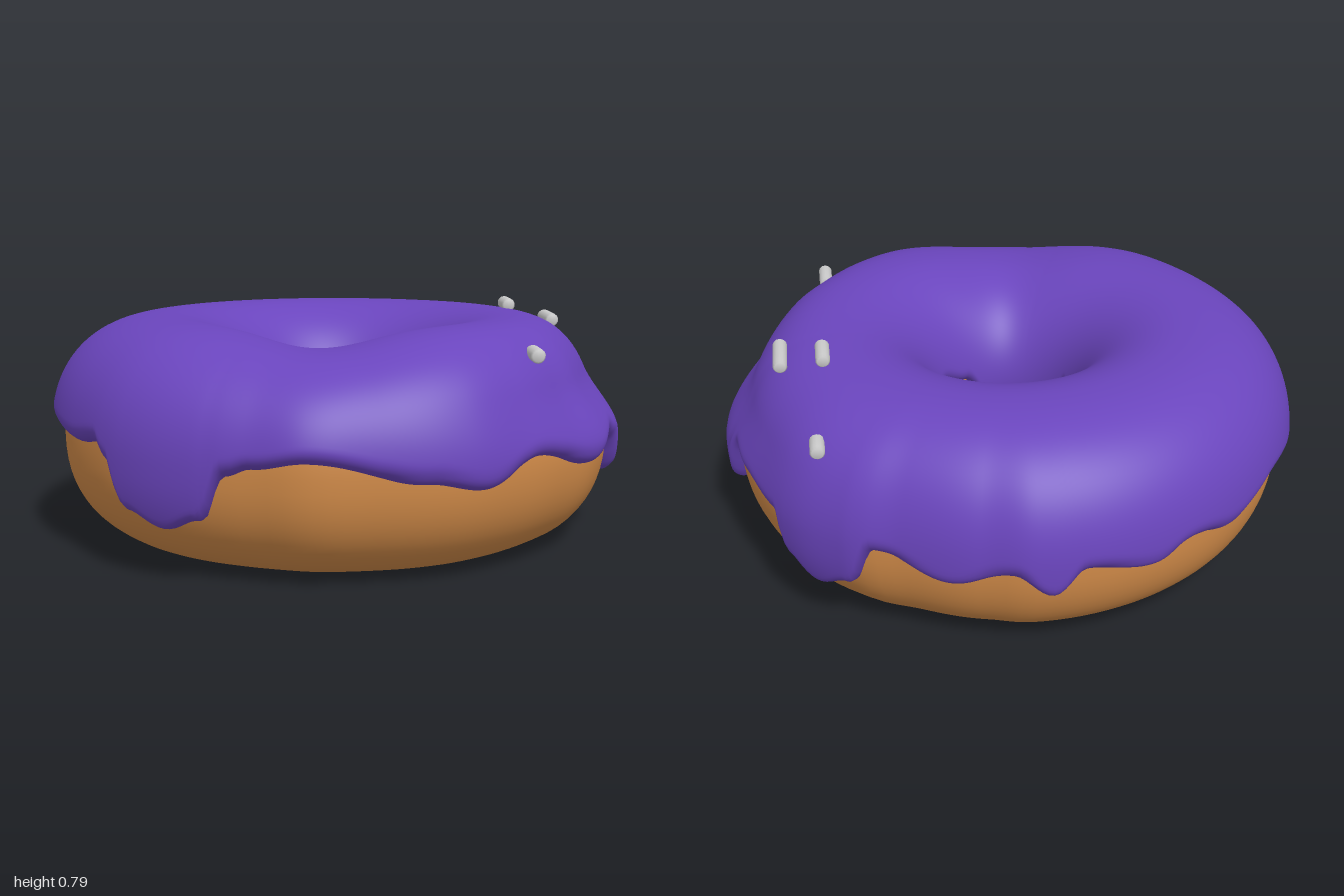
import * as THREE from 'three';

const RAD = Math.PI / 180;
const RING = 0.6, MID = 0.355, HALF = 0.355, ICING = 0.045;

// Angles run from +x towards +z, in degrees.
const OUTLINE = [[0, 0.995], [27, 0.99], [40, 0.972], [52, 0.975], [67, 0.99], [84, 0.985], [97, 1.007], [108, 0.985],
  [134, 1], [151, 0.99], [180, 1], [211, 1], [243, 1], [273, 1], [283, 0.972], [298, 0.96], [309, 0.99],
  [320, 1], [336, 0.985], [350, 0.99]];
const OUTER_EDGE = [[4, 0.2], [10, 0.23], [14, 0.34], [18, 0.38], [32, 0.31], [50, 0.375], [64, 0.3], [75, 0.33],
  [97, 0.41], [107, 0.38], [112, 0.35], [117, 0.21], [125, 0.17], [133, 0.21], [138, 0.34], [142, 0.4], [152, 0.38],
  [170, 0.4], [193, 0.33], [216, 0.385], [232, 0.33], [242, 0.36], [251, 0.315], [264, 0.35], [270, 0.27],
  [277, 0.34], [289, 0.29], [304, 0.36], [309, 0.22], [317, 0.17], [323, 0.23], [327, 0.35], [341, 0.38],
  [350, 0.4], [356, 0.22]];
const INNER_EDGE = [[0, 0.36], [30, 0.42], [60, 0.38], [85, 0.26], [111, 0.2], [137, 0.27], [160, 0.4], [173, 0.33],
  [186, 0.41], [230, 0.36], [280, 0.42], [325, 0.39]];

// Smooth periodic interpolation of [degree, value] pairs
function around(table, theta) {
  const d = ((theta / RAD) % 360 + 360) % 360;
  const n = table.length;
  let k = n - 1;
  for (let i = 0; i < n; i++) if (table[i][0] <= d) k = i;
  if (d < table[0][0]) k = n - 1;
  const [d0, v0] = table[k], [d1, v1] = table[(k + 1) % n];
  const span = (d1 - d0 + 360) % 360;
  const f = ((d - d0 + 360) % 360) / span;
  return v0 + (v1 - v0) * (1 - Math.cos(Math.PI * f)) / 2;
}

// Bell-shaped weight centred on an angle
function bell(theta, centre, width) {
  const d = ((theta / RAD - centre + 540) % 360) - 180;
  return Math.exp(-(d * d) / (width * width));
}

const exponent = (inner) => (inner ? 2.05 : 2.3);
const spow = (v, p) => Math.sign(v) * Math.abs(v) ** p;

// Point of the ring: theta around the hole, t around the tube, lifted off the dough
function ringPoint(theta, t, lift) {
  const c = Math.cos(t), s = Math.sin(t), inner = c < 0;
  const p = 2 / exponent(inner);
  const dx = (inner ? 0.33 : 0.955 - RING) * spow(c, p) + lift * c;
  let dy = HALF * spow(s, p) + lift * s;
  // sag in the crest at the front, flattened shoulder on the +x side
  if (dy > 0) dy *= 1 - 0.15 * bell(theta, 98, 24);
  let r = RING + dx;
  if (!inner) {
    r = RING + dx * (1 + (around(OUTLINE, theta) - 1) * 2.5);
    const up = THREE.MathUtils.smoothstep(dy, 0, 0.22) * c;
    r -= 0.09 * up * bell(theta, 15, 38);
  }
  return [r * Math.cos(theta), MID + dy, r * Math.sin(theta)];
}

// Smooth grid closed around the hole, optionally closed around the tube
function ringGeometry(nu, nv, closed, at) {
  const pos = [], index = [];
  const rows = closed ? nv : nv + 1;
  for (let i = 0; i < nu; i++) {
    for (let j = 0; j < rows; j++) pos.push(...at((i / nu) * Math.PI * 2, j / nv));
  }
  for (let i = 0; i < nu; i++) {
    for (let j = 0; j < nv; j++) {
      const i1 = (i + 1) % nu, j1 = (j + 1) % rows;
      const a = i * rows + j, b = i1 * rows + j, c = i1 * rows + j1, d = i * rows + j1;
      index.push(a, b, c, a, c, d);
    }
  }
  const g = new THREE.BufferGeometry();
  g.setAttribute('position', new THREE.Float32BufferAttribute(pos, 3));
  g.setIndex(index);
  g.computeVertexNormals();
  return g;
}

// Tube angle at which the dough reaches a height
function tubeAngle(y, inner) {
  const t = Math.asin(spow((y - MID) / HALF, exponent(inner) / 2));
  return inner ? Math.PI - t : t;
}

export function createModel() {
  const group = new THREE.Group();
  const add = (name, geometry, color, side = THREE.FrontSide) => {
    const mesh = new THREE.Mesh(geometry, new THREE.MeshStandardMaterial({ color, side }));
    mesh.name = name;
    group.add(mesh);
    return mesh;
  };

  // Dough ring
  add('dough', ringGeometry(128, 64, true, (theta, v) => ringPoint(theta, Math.PI - v * Math.PI * 2, 0)), 0xd08a48);

  // Icing shell with dripping, rounded edges
  add('icing', ringGeometry(360, 72, false, (theta, v) => {
    const t0 = tubeAngle(around(INNER_EDGE, theta), true);
    const t1 = tubeAngle(around(OUTER_EDGE, theta), false);
    const s = (1 - Math.cos(Math.PI * v)) / 2;
    const t = t0 + (t1 - t0) * s;
    const e = Math.min(1, Math.min(t0 - t, t - t1) / 0.13);
    const lift = -0.008 + (ICING + 0.008) * Math.sqrt(Math.max(0, 1 - (1 - e) ** 2));
    return ringPoint(theta, t, lift);
  }), 0x6a45bd, THREE.DoubleSide);

  // Sprinkles: x, y, z, length
  const sprinkles = [
    [0.675, 0.645, -0.615, 0.085],
    [0.64, 0.765, -0.23, 0.12],
    [0.78, 0.72, -0.14, 0.17],
    [0.61, 0.675, 0.58, 0.115],
  ];
  sprinkles.forEach(([x, y, z, length], i) => {
    const h = length / 2, r = 0.024;
    const profile = [[0, -h], [r * 0.75, -h], [r, -h + 0.008], [r, h - 0.008], [r * 0.75, h], [0, h]];
    const g = new THREE.LatheGeometry(profile.map(([a, b]) => new THREE.Vector2(a, b)), 14);
    g.rotateX(Math.PI / 2);
    add(`sprinkle${i + 1}`, g, 0xcccccc).position.set(x, y, z);
  });

  return group;
}
